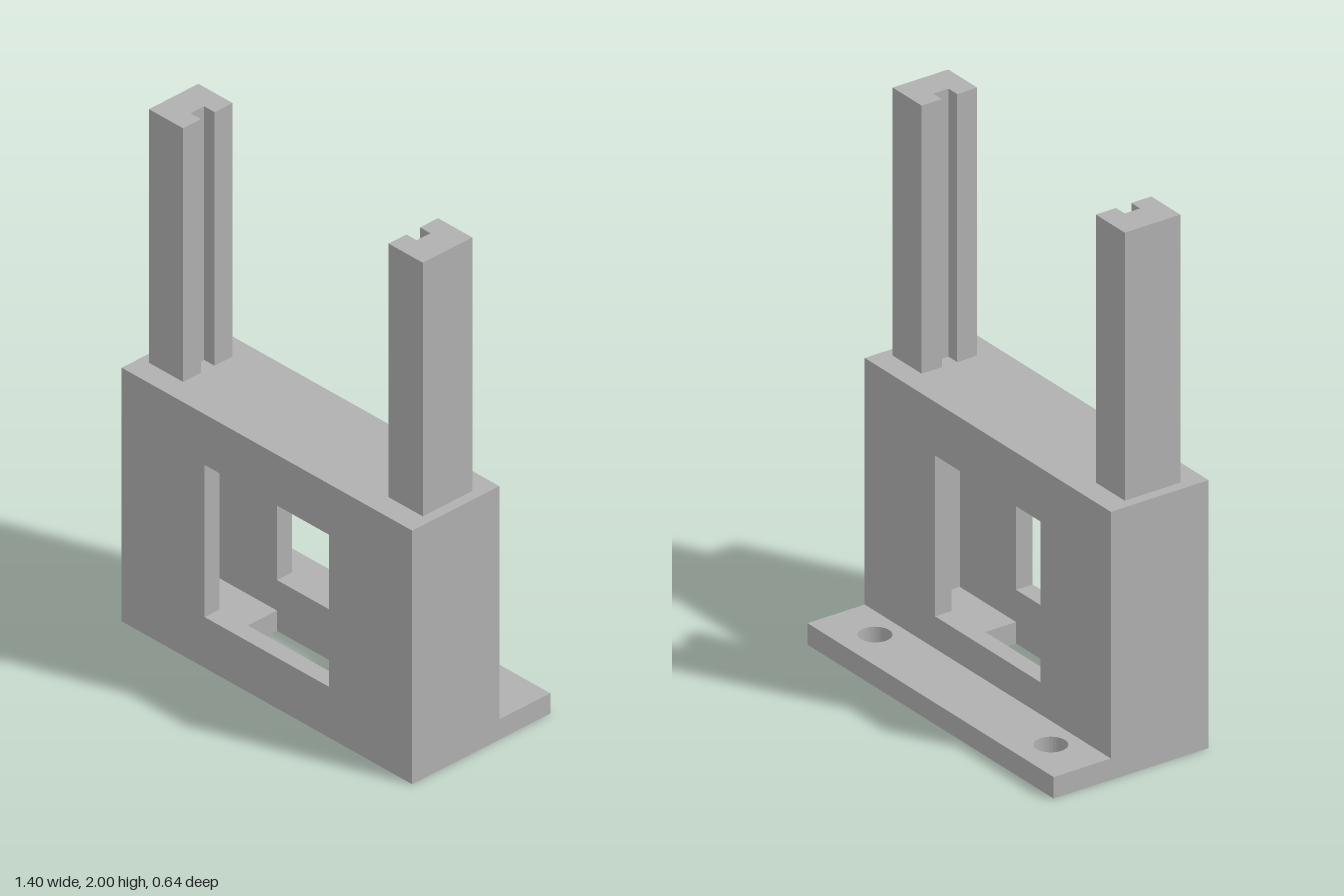
import * as THREE from 'three';

// Adds the corners of a rectangle to a Shape or Path
function rect(path, x0, y0, x1, y1) {
  path.moveTo(x0, y0);
  path.lineTo(x1, y0);
  path.lineTo(x1, y1);
  path.lineTo(x0, y1);
  path.closePath();
  return path;
}

function extrude(shape, depth) {
  return new THREE.ExtrudeGeometry(shape, { depth, bevelEnabled: false, curveSegments: 24 });
}

export function createModel() {
  const group = new THREE.Group();
  const grey = new THREE.MeshStandardMaterial({ color: 0xb0b0b0 });
  grey.name = 'grey';

  const add = (name, geometry) => {
    const mesh = new THREE.Mesh(geometry, grey);
    mesh.name = name;
    group.add(mesh);
    return mesh;
  };

  const W = 0.7, front = 0.318, back = -0.083, flangeBack = -0.318;
  const base = 0.08, wall = 0.068, side = 0.08;

  // Base plate with a bottom slot and two screw holes in the rear flange (shape y = -z)
  const plate = rect(new THREE.Shape(), -W, -front, W, -flangeBack);
  plate.holes.push(rect(new THREE.Path(), -0.3, -(front - wall), 0.3, -(back + wall)));
  for (const x of [-0.5, 0.5]) {
    plate.holes.push(new THREE.Path().absarc(x, 0.185, 0.058, 0, Math.PI * 2));
  }
  add('basePlate', extrude(plate, base).rotateX(-Math.PI / 2));

  // Front and back walls, each with a square window
  const panel = rect(new THREE.Shape(), -W, base, W, 1);
  panel.holes.push(rect(new THREE.Path(), -0.3, 0.2, 0.3, 0.8));
  add('frontWall', extrude(panel, wall).translate(0, 0, front - wall));
  add('backWall', extrude(panel, wall).translate(0, 0, back));

  // Side walls and ceiling around the hollow interior
  const arch = new THREE.Shape();
  const points = [
    [-W, base], [-W + side, base], [-W + side, 1 - side], [W - side, 1 - side],
    [W - side, base], [W, base], [W, 1], [-W, 1],
  ];
  arch.setFromPoints(points.map(([x, y]) => new THREE.Vector2(x, y)));
  add('sidesAndCeiling', extrude(arch, front - back - 2 * wall).translate(0, 0, back + wall));

  // Upright rails with a groove facing inwards
  for (const s of [1, -1]) {
    const rail = new THREE.Shape();
    const profile = [
      [0.495, 0.003], [0.66, 0.003], [0.66, 0.231], [0.495, 0.231],
      [0.495, 0.149], [0.545, 0.149], [0.545, 0.086], [0.495, 0.086],
    ];
    rail.setFromPoints(profile.map(([x, z]) => new THREE.Vector2(s * x, -z)));
    add(s > 0 ? 'leftRail' : 'rightRail', extrude(rail, 1).rotateX(-Math.PI / 2).translate(0, 1, 0));
  }

  return group;
}
